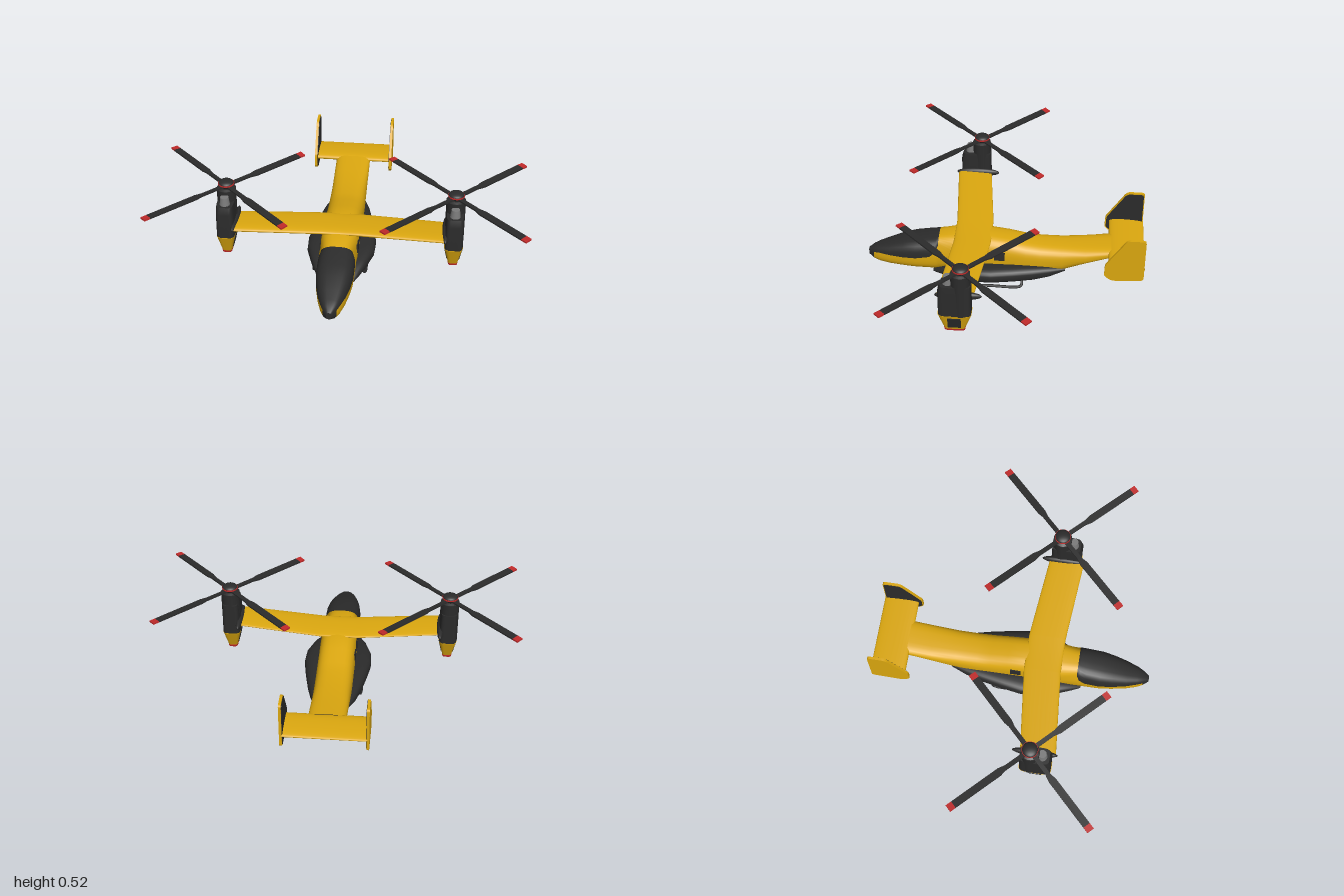
import * as THREE from 'three';

const material = (name, color) => Object.assign(new THREE.MeshStandardMaterial({ color }), { name });
const yellow = material('yellow paint', 0xdba70f);
const dark = material('dark grey', 0x2b2b2b);
const red = material('red trim', 0xc02a2a);
const steel = material('steel', 0x7a7a7a);

function add(parent, name, geometry, mat, x = 0, y = 0, z = 0) {
  const mesh = new THREE.Mesh(geometry, mat);
  mesh.name = name;
  mesh.position.set(x, y, z);
  parent.add(mesh);
  return mesh;
}

// Skin closed rings (counter-clockwise about the direction of travel); pick(i, j) gives the material
function loft(rings, materialCount = 1, pick = () => 0) {
  const n = rings[0].length, pos = rings.flat(2), faces = Array.from({ length: materialCount }, () => []);
  for (let i = 0; i < rings.length - 1; i++) {
    for (let j = 0; j < n; j++) {
      const k = (j + 1) % n, a = i * n + j, b = i * n + k, c = b + n, d = a + n;
      faces[pick(i, j)].push(a, b, c, a, c, d);
    }
  }
  // Flat end caps
  [[rings[0], true], [rings[rings.length - 1], false]].forEach(([ring, flip]) => {
    const base = pos.length / 3;
    pos.push(...ring.flat());
    for (let k = 0; k < 3; k++) pos.push(ring.reduce((s, p) => s + p[k], 0) / n);
    for (let j = 0; j < n; j++) {
      const a = base + j, b = base + (j + 1) % n;
      faces[materialCount - 1].push(...(flip ? [b, a, base + n] : [a, b, base + n]));
    }
  });
  const g = new THREE.BufferGeometry();
  g.setAttribute('position', new THREE.Float32BufferAttribute(pos, 3));
  g.setIndex(faces.flat());
  let start = 0;
  faces.forEach((f, m) => { g.addGroup(start, f.length, m); start += f.length; });
  g.computeVertexNormals();
  return g;
}

// Superellipse ring of [u, v] pairs; power 2 is an ellipse, higher is boxier
function ringPoints(count, power) {
  const f = v => Math.sign(v) * Math.abs(v) ** (2 / power);
  return Array.from({ length: count }, (_, j) => {
    const a = j / count * Math.PI * 2;
    return [f(Math.cos(a)), f(Math.sin(a))];
  });
}

// Fuselage sections: z, bottom, top, half width, colour-line height
const BODY = [
  [-0.59, 0.195, 0.247, 0.1, 0.22], [-0.45, 0.138, 0.235, 0.1, 0.18], [-0.32, 0.08, 0.23, 0.1, 0.16],
  [-0.2, 0.05, 0.232, 0.102, 0.16], [-0.12, 0.046, 0.242, 0.102, 0.16], [-0.02, 0.044, 0.265, 0.102, 0.16],
  [0.08, 0.044, 0.28, 0.102, 0.16], [0.26, 0.045, 0.28, 0.102, 0.17], [0.37, 0.045, 0.257, 0.1, 0.23],
  [0.385, 0.046, 0.254, 0.1, 0.19], [0.42, 0.047, 0.249, 0.1, 0.157], [0.5, 0.049, 0.235, 0.099, 0.142],
  [0.57, 0.052, 0.217, 0.09, 0.138], [0.65, 0.056, 0.187, 0.073, 0.136], [0.71, 0.062, 0.165, 0.054, 0.134],
  [0.745, 0.07, 0.15, 0.037, 0.125], [0.775, 0.09, 0.13, 0.014, 0.11],
];
const STEPS = 8;

function fuselage(parent) {
  const rings = BODY.map(([z, yb, yt, w, ym]) => {
    const tm = (ym - yb) / (yt - yb), half = [];
    for (let k = 0; k <= 2 * STEPS; k++) {
      const t = k <= STEPS ? tm * (k / STEPS) ** 2 : 1 - (1 - tm) * (2 - k / STEPS) ** 2;
      half.push([w * Math.cbrt(1 - Math.abs(2 * t - 1) ** 3), yb + t * (yt - yb), z]);
    }
    return [...half, ...half.slice(1, -1).reverse().map(([x, y, zz]) => [-x, y, zz])];
  });
  const pick = (i, j) => {
    const row = j < 2 * STEPS ? j : 4 * STEPS - 1 - j;
    const nose = BODY[i][0] > 0.74, canopy = BODY[i][0] > 0.36 && row >= STEPS;
    return nose || canopy || row < 3 ? 1 : 0;
  };
  add(parent, 'fuselage', loft(rings, 2, pick), [yellow, dark]);

  for (const s of [-1, 1]) {
    // Cabin windows
    for (const z of [0.25, 0.14, 0.027]) {
      const w = add(parent, 'cabinWindow', new THREE.BoxGeometry(0.009, 0.052, 0.06), dark, s * 0.1, 0.184, z);
      w.rotation.z = s * 0.05;
    }
    // Side sponson: z, outer x, bottom, top
    const sections = [[-0.34, 0.092, 0.092, 0.112], [-0.25, 0.125, 0.062, 0.126], [-0.16, 0.148, 0.048, 0.13],
      [-0.05, 0.17, 0.044, 0.132], [0.07, 0.189, 0.042, 0.132], [0.17, 0.185, 0.042, 0.127],
      [0.28, 0.15, 0.043, 0.114], [0.35, 0.12, 0.045, 0.09], [0.4, 0.095, 0.05, 0.065]];
    const sponson = sections.map(([z, xo, yb, yt]) => ringPoints(28, 2.6).map(([u, v]) => [
      s * (xo + 0.04) / 2 + u * (xo - 0.04) / 2, (yb + yt) / 2 + v * (yt - yb) / 2, z]));
    add(parent, 'sponson', loft(sponson), dark);

    // Landing skid
    const path = [[0.11, 0.055, 0.25], [0.138, 0.016, 0.252], [0.143, 0.008, 0.235], [0.143, 0.008, 0.08],
      [0.143, 0.008, -0.08], [0.138, 0.016, -0.098], [0.11, 0.055, -0.098]];
    const curve = new THREE.CatmullRomCurve3(path.map(([x, y, z]) => new THREE.Vector3(s * x, y, z)), false, 'centripetal');
    add(parent, 'skid', new THREE.TubeGeometry(curve, 48, 0.008, 8), dark);
  }
}

// Spanwise surface from [x, y, front z, rear z, thickness]
function surface(sections, materialCount, pick) {
  return loft(sections.map(([x, y, zf, zr, th]) => ringPoints(28, 2.4).map(([u, v]) => [
    x, y + u * th / 2 * (0.8 + 0.2 * v), (zf + zr) / 2 + v * (zf - zr) / 2])), materialCount, pick);
}

function wings(parent) {
  const tip = s => [s * 0.57, 0.286, 0.32, 0.125, 0.032], root = s => [s * 0.1, 0.273, 0.28, 0.075, 0.036];
  const under = (i, j) => (j > 7 && j < 20 ? 1 : 0);
  add(parent, 'wing', surface([tip(-1), root(-1), root(1), tip(1)], 2, under), [yellow, dark]);
  add(parent, 'tailplane', surface([-0.22, 0.22].map(x => [x, 0.231, -0.575, -0.77, 0.042])), yellow);

  // Twin tail fins, drawn in (-z, y), with dark inner faces
  const fin = new THREE.Shape();
  fin.moveTo(0.553, 0.19);
  fin.quadraticCurveTo(0.575, 0.158, 0.61, 0.155);
  fin.lineTo(0.75, 0.163);
  fin.quadraticCurveTo(0.767, 0.164, 0.767, 0.18);
  fin.lineTo(0.767, 0.41);
  fin.quadraticCurveTo(0.767, 0.426, 0.75, 0.426);
  fin.lineTo(0.69, 0.427);
  fin.quadraticCurveTo(0.665, 0.427, 0.65, 0.4);
  fin.lineTo(0.558, 0.262);
  fin.quadraticCurveTo(0.552, 0.25, 0.553, 0.19);
  const plate = (depth, k) => new THREE.ExtrudeGeometry(fin, { depth, bevelEnabled: false })
    .translate(-0.67, -0.28, -depth / 2).scale(k, k, 1).rotateY(Math.PI / 2);
  for (const s of [-1, 1]) {
    add(parent, 'tailFin', plate(0.014, 1), yellow, s * 0.222, 0.28, -0.67);
    add(parent, 'finInnerFace', plate(0.004, 0.95), dark, s * 0.2145, 0.28, -0.67);
  }
}

function rotor() {
  const g = new THREE.Group();
  g.name = 'rotor';
  const blade = new THREE.Shape([[0, -0.012], [0.15, -0.012], [0.19, -0.021], [0.486, -0.021], [0.486, 0.019],
    [0.2, 0.019], [0.17, 0.012], [0, 0.012]].map(p => new THREE.Vector2(...p)));
  const bladeGeo = new THREE.ExtrudeGeometry(blade, { depth: 0.009, bevelEnabled: false })
    .translate(0, 0, -0.0045).rotateX(-Math.PI / 2);
  for (let k = 0; k < 4; k++) {
    const arm = new THREE.Group();
    arm.name = 'rotorBlade';
    arm.rotation.y = Math.PI / 4 + k * Math.PI / 2;
    const pitched = new THREE.Group();
    pitched.rotation.x = 0.08;
    add(pitched, 'blade', bladeGeo, dark);
    add(pitched, 'bladeTip', new THREE.BoxGeometry(0.034, 0.009, 0.04), red, 0.503, 0, 0.001);
    arm.add(pitched);
    g.add(arm);
  }
  // Hub with red ring and domed cap
  add(g, 'hub', new THREE.CylinderGeometry(0.04, 0.025, 0.026, 24), dark, 0, 0.001, 0);
  add(g, 'hubRing', new THREE.CylinderGeometry(0.044, 0.044, 0.007, 24), red, 0, 0.014, 0);
  add(g, 'hubCap', new THREE.SphereGeometry(0.042, 24, 8, 0, Math.PI * 2, 0, Math.PI / 2).scale(1, 0.42, 1), dark, 0, 0.016, 0);
  return g;
}

function nacelle(s) {
  const g = new THREE.Group();
  g.name = 'engineNacelle';
  g.position.x = s * 0.617;
  // Vertical stack of rounded boxes: y, half width, front z, rear z
  const stack = sections => loft(sections.map(([y, w, zf, zr]) => ringPoints(40, 5).map(([u, v]) => [
    v * w, y, (zf + zr) / 2 + u * (zf - zr) / 2])));
  add(g, 'engineCore', new THREE.CylinderGeometry(0.052, 0.052, 0.255, 28), dark, 0, 0.347, 0.185);
  add(g, 'coreTop', new THREE.CylinderGeometry(0.035, 0.052, 0.008, 28), dark, 0, 0.477, 0.185);
  add(g, 'engineHousing', stack([[0.222, 0.05, 0.303, 0.13], [0.37, 0.048, 0.303, 0.13], [0.41, 0.045, 0.29, 0.13]]), dark);
  add(g, 'intake', new THREE.CylinderGeometry(0.022, 0.028, 0.047, 20), steel, 0, 0.432, 0.25);
  add(g, 'lowerCowl', stack([[0.12, 0.027, 0.272, 0.165], [0.215, 0.048, 0.303, 0.13], [0.224, 0.051, 0.306, 0.128]]), yellow);
  add(g, 'exhaustRim', stack([[0.11, 0.026, 0.273, 0.164], [0.121, 0.028, 0.275, 0.162]]), red);
  add(g, 'exhaustOpening', new THREE.BoxGeometry(0.036, 0.004, 0.085), dark, 0, 0.11, 0.2185);
  // Vents on the sloping cowl sides
  for (const k of [-1, 1]) {
    const vent = add(g, 'cowlVent', new THREE.BoxGeometry(0.006, 0.072, 0.07), dark, k * 0.039, 0.172, 0.218);
    vent.rotation.z = -k * 0.22;
  }
  // Tilt joint between wing and nacelle
  add(g, 'tiltJoint', new THREE.SphereGeometry(1, 24, 12).scale(0.02, 0.026, 0.125), dark, -s * 0.046, 0.288, 0.205);
  const r = rotor();
  r.position.set(0, 0.488, 0.183);
  g.add(r);
  return g;
}

export function createModel() {
  const model = new THREE.Group();
  model.name = 'tiltrotorAircraft';
  fuselage(model);
  wings(model);
  model.add(nacelle(-1), nacelle(1));
  return model;
}
